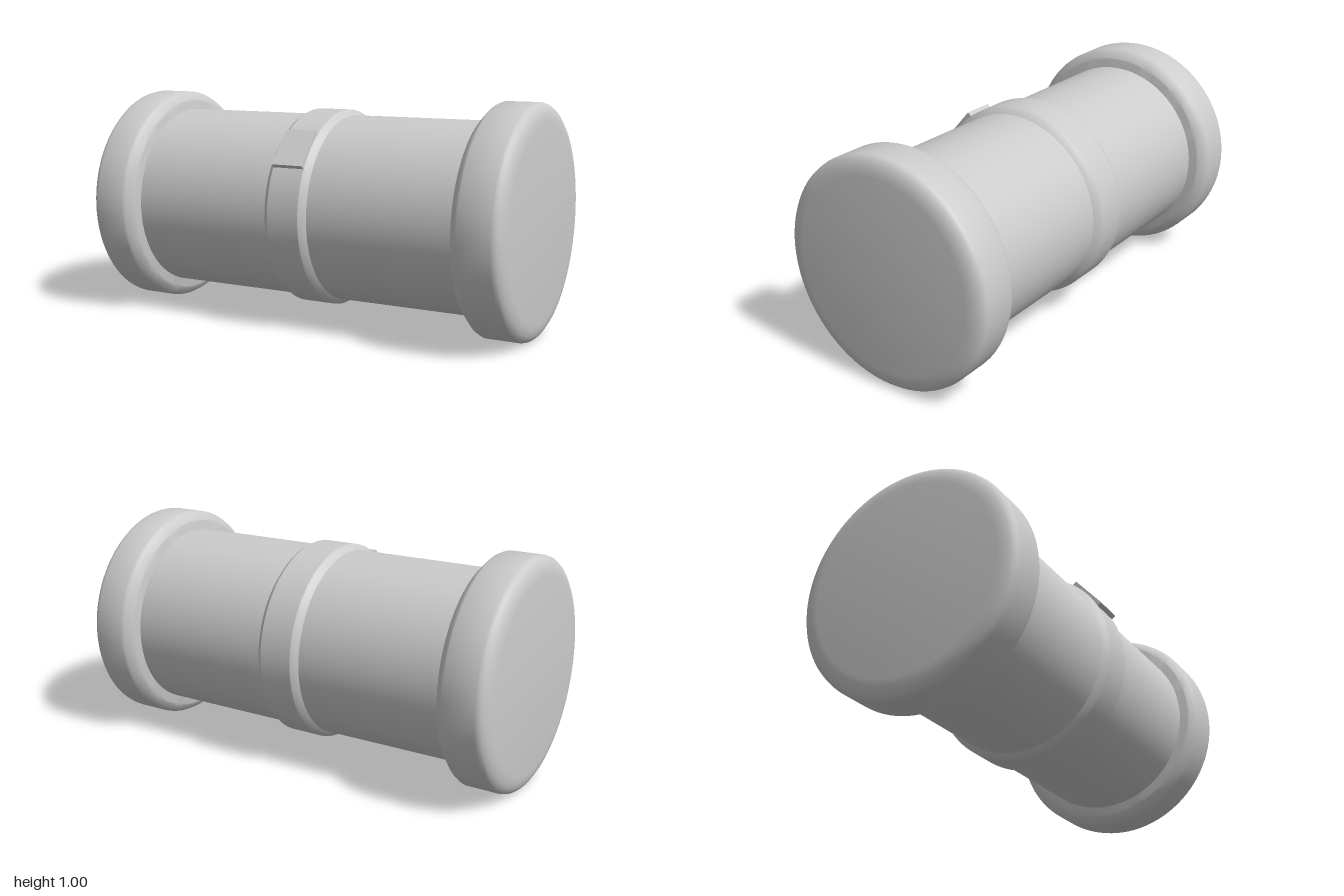
import * as THREE from 'three';
import { toCreasedNormals } from 'three/addons/utils/BufferGeometryUtils.js';

const AXIS_Y = 0.5;

export function createModel() {
  const model = new THREE.Group();
  model.name = 'cappedTube';
  const material = new THREE.MeshStandardMaterial({ color: 0xcccccc });

  // Turned part: profile of [radius, x], spun round the x axis
  function turned(name, profile, direction = 1) {
    const points = profile.map(([r, x]) => new THREE.Vector2(r, x));
    const geometry = toCreasedNormals(new THREE.LatheGeometry(points, 96), 0.5);
    const mesh = new THREE.Mesh(geometry, material);
    mesh.name = name;
    mesh.rotation.z = -direction * Math.PI / 2;
    mesh.position.y = AXIS_Y;
    model.add(mesh);
  }

  // Main barrel
  turned('barrel', [[0, -0.8], [0.416, -0.8], [0.416, 0.8], [0, 0.8]]);

  // Raised band round the middle, with chamfered edges
  turned('middleBand', [
    [0.4, -0.105], [0.414, -0.105], [0.432, -0.09], [0.441, -0.075],
    [0.441, 0.075], [0.432, 0.09], [0.414, 0.105], [0.4, 0.105],
  ]);

  // End caps: chamfered inner edge, rounded outer edge, flat face
  const capProfile = [
    [0, 0.775], [0.455, 0.775], [0.464, 0.778], [0.494, 0.806], [0.5, 0.818], [0.5, 0.955],
    [0.497, 0.968], [0.488, 0.979], [0.47, 0.99], [0.445, 0.997], [0.42, 1], [0, 1],
  ];
  turned('leftCap', capProfile, 1);
  turned('rightCap', capProfile, -1);

  // Small flat button on the upper front of the band
  const angle = THREE.MathUtils.degToRad(41);
  const radius = 0.427;
  const button = new THREE.Mesh(new THREE.BoxGeometry(0.148, 0.185, 0.052), material);
  button.name = 'button';
  button.position.set(0, AXIS_Y + radius * Math.sin(angle), radius * Math.cos(angle));
  button.rotation.x = -angle;
  model.add(button);

  return model;
}
